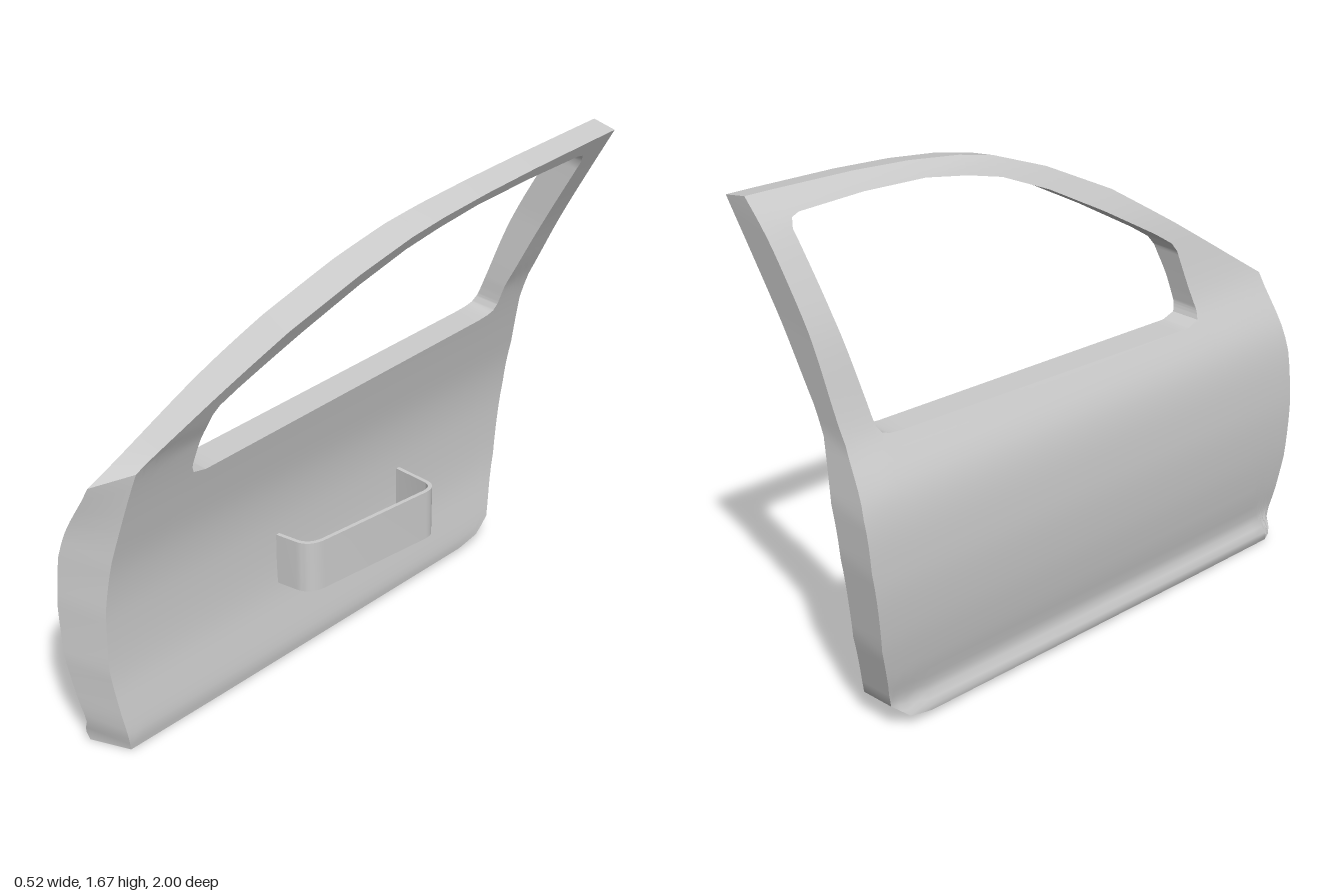
import * as THREE from 'three';
import { toCreasedNormals } from 'three/addons/utils/BufferGeometryUtils.js';

const grey = new THREE.MeshStandardMaterial({ color: 0xcccccc, side: THREE.DoubleSide });

// Sideways curvature of each skin: [height, x]
const outerSkin = [[0, -0.228], [0.035, -0.239], [0.09, -0.218], [0.2, -0.237], [0.37, -0.257], [0.57, -0.26],
  [0.79, -0.23], [0.99, -0.135], [1.276, -0.044], [1.45, 0.035], [1.58, 0.106], [1.67, 0.175]];
const innerSkin = [[0, -0.094], [0.055, -0.09], [0.28, -0.12], [0.5, -0.125], [0.645, -0.115], [0.77, -0.093],
  [1.04, -0.028], [1.13, 0.01], [1.307, 0.088], [1.5, 0.182], [1.655, 0.26]];

// Smooth curve through a skin's points
function skinX(pts, y) {
  const n = pts.length - 1;
  if (y <= pts[0][0]) return pts[0][1];
  if (y >= pts[n][0]) return pts[n][1];
  const i = pts.findIndex((p) => p[0] > y) - 1;
  const slope = (k) => {
    const a = pts[Math.max(k - 1, 0)], b = pts[Math.min(k + 1, n)];
    return (b[1] - a[1]) / (b[0] - a[0]);
  };
  const h = pts[i + 1][0] - pts[i][0], t = (y - pts[i][0]) / h, u = 1 - t;
  return u * u * (1 + 2 * t) * pts[i][1] + t * t * (3 - 2 * t) * pts[i + 1][1]
    + h * t * u * (u * slope(i) - t * slope(i + 1));
}

// Door edge z, y; matching window edge z, y; optional inset of the inner skin's edge z, y
const knots = [
  // sill
  [0.935, 0, 0.6, 0.925, -0.055, 0], [0.5, 0.003, 0.545, 0.912], [-0.7, 0.02, -0.72, 0.953],
  [-0.79, 0.04, -0.765, 0.958], [-0.85, 0.09, -0.79, 0.967],
  // rear edge
  [-0.91, 0.32, -0.805, 0.99], [-0.945, 0.6, -0.81, 1.02], [-0.95, 0.77, -0.815, 1.06],
  [-0.93, 0.97, -0.825, 1.12], [-0.96, 1.3, -0.86, 1.32], [-0.985, 1.52, -0.885, 1.5],
  [-0.994, 1.6, -0.893, 1.565],
  // roof rail
  [-1, 1.67, -0.88, 1.592, 0, -0.015], [-0.9, 1.667, -0.85, 1.6, 0, -0.015],
  [-0.6, 1.655, -0.6, 1.6, 0, -0.015], [-0.39, 1.64, -0.36, 1.587, 0, -0.015],
  [-0.2, 1.617, -0.2, 1.56, 0, -0.015], [-0.07, 1.59, -0.07, 1.528, 0, -0.015],
  [0.12, 1.52, 0.1, 1.455, 0, -0.015], [0.36, 1.4, 0.3, 1.345, 0, -0.015],
  [0.6, 1.24, 0.5, 1.225, 0, -0.015], [0.75, 1.135, 0.565, 1.18, 0, -0.015],
  // front edge
  [0.955, 0.99, 0.583, 1.15, -0.1, 0.05], [0.995, 0.72, 0.595, 1.07, -0.09, 0],
  [1, 0.54, 0.605, 1, -0.077, 0], [0.99, 0.32, 0.61, 0.96, -0.065, 0],
  [0.965, 0.15, 0.608, 0.945, -0.06, 0], [0.945, 0.05, 0.604, 0.935, -0.055, 0],
];

// Closed shell: each column runs from the door edge to the window on the inner skin and back on the outer skin
function doorGeometry() {
  const columns = [];
  knots.forEach((a, k) => {
    const b = knots[(k + 1) % knots.length];
    const steps = Math.max(2, Math.ceil(Math.hypot(b[0] - a[0], b[1] - a[1]) / 0.05));
    for (let s = 0; s < steps; s++) {
      columns.push([0, 1, 2, 3, 4, 5].map((c) => THREE.MathUtils.lerp(a[c] || 0, b[c] || 0, s / steps)));
    }
  });
  const ts = [0, 0.02, 0.04, 0.065, 0.09, 0.12];
  for (let i = 1; i <= 20; i++) ts.push(0.12 + 0.044 * i);
  const pos = [], index = [];
  const rows = ts.length * 2;
  for (const [z, y, hz, hy, dz, dy] of columns) {
    const add = (skin, z0, y0, t) => {
      const py = THREE.MathUtils.lerp(y0, hy, t);
      pos.push(skinX(skin, py), py, THREE.MathUtils.lerp(z0, hz, t));
    };
    ts.forEach((t) => add(innerSkin, z + dz, y + dy, t));
    [...ts].reverse().forEach((t) => add(outerSkin, z, y, t));
  }
  for (let i = 0; i < columns.length; i++) {
    const n = (i + 1) % columns.length;
    for (let j = 0; j < rows; j++) {
      const m = (j + 1) % rows;
      const a = i * rows + j, b = n * rows + j, c = n * rows + m, d = i * rows + m;
      index.push(a, b, c, a, c, d);
    }
  }
  const g = new THREE.BufferGeometry();
  g.setAttribute('position', new THREE.Float32BufferAttribute(pos, 3));
  g.setIndex(index);
  return toCreasedNormals(g, 0.65);
}

// Plan outline of the pocket, drawn in x and -z
function pocketOutline(inset) {
  const s = new THREE.Shape(), e = inset;
  s.moveTo(-0.135, -0.19 + e);
  s.lineTo(-0.05, -0.175 + e);
  s.quadraticCurveTo(0.005 - e, -0.165 + e, 0.012 - e, -0.1);
  s.lineTo(0.053 - e, 0.35);
  s.quadraticCurveTo(0.055 - e, 0.407 - e, 0, 0.407 - e);
  s.lineTo(-0.135, 0.407 - e);
  return s;
}

function upright(shape, height, y, name) {
  const g = new THREE.ExtrudeGeometry(shape, { depth: height, bevelEnabled: false, curveSegments: 10 });
  g.rotateX(-Math.PI / 2).translate(0, y, 0);
  const mesh = new THREE.Mesh(toCreasedNormals(g, 0.6), grey);
  mesh.name = name;
  return mesh;
}

export function createModel() {
  const model = new THREE.Group();
  model.name = 'vehicleDoor';

  const panel = new THREE.Mesh(doorGeometry(), grey);
  panel.name = 'doorPanel';
  model.add(panel);

  // Open-topped pocket on the inner skin: thin wall plus floor
  const pocket = new THREE.Group();
  pocket.name = 'doorPocket';
  const wall = new THREE.Shape([
    ...pocketOutline(0).getPoints(10),
    ...pocketOutline(0.014).getPoints(10).reverse(),
  ]);
  pocket.add(upright(wall, 0.187, 0.29, 'pocketWall'));
  pocket.add(upright(pocketOutline(0.002), 0.012, 0.2905, 'pocketFloor'));
  model.add(pocket);

  return model;
}
